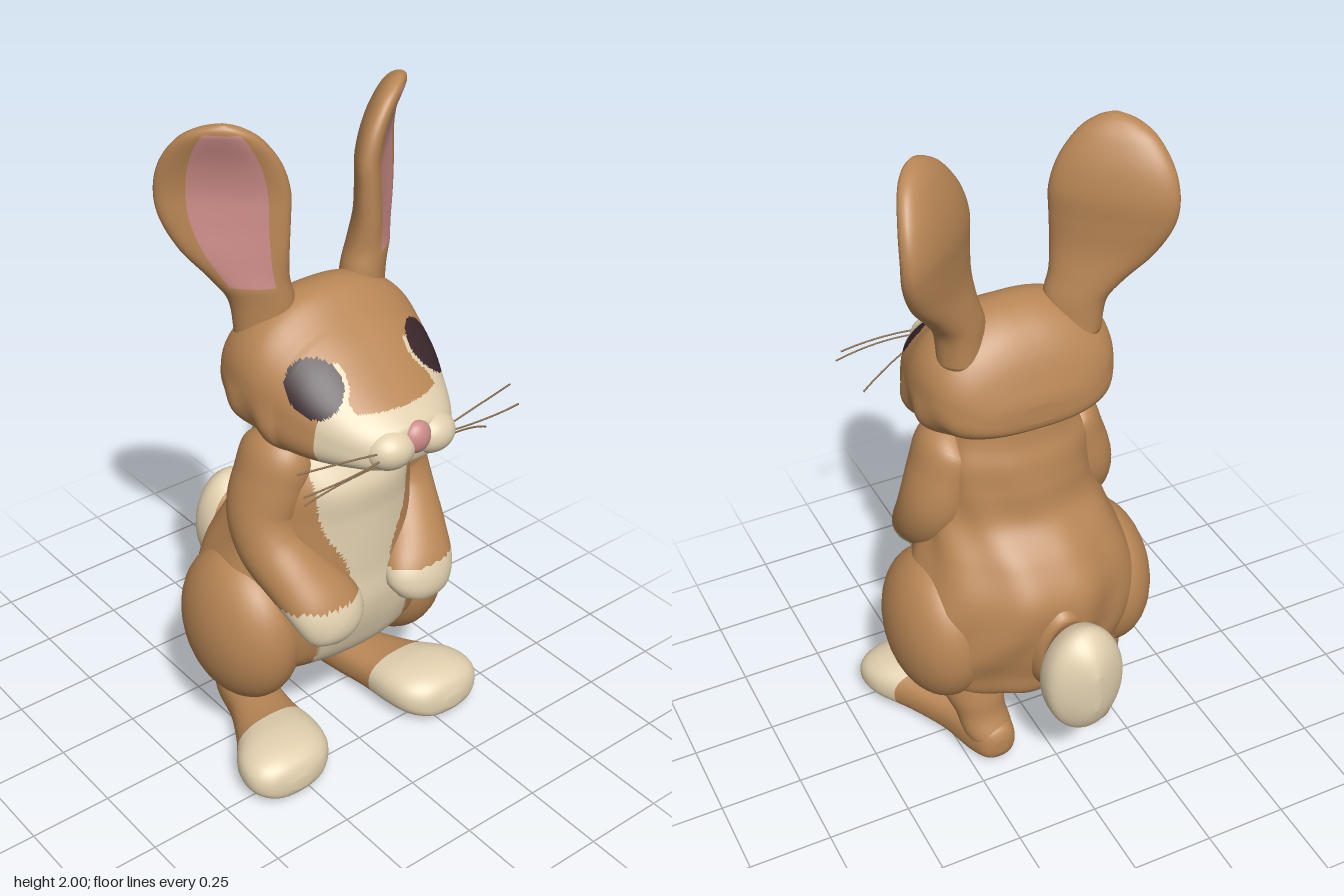
import * as THREE from 'three';

const mat = (name, color) => Object.assign(new THREE.MeshStandardMaterial({ color }), { name });
const brown = mat('brown fur', 0xb88655);
const cream = mat('cream fur', 0xe0cfae);
const pink = mat('pink skin', 0xcd8d89);
const dark = mat('dark eye', 0x3a272c);
const hair = mat('whisker', 0x8f7356);
const furs = [brown, cream, pink, dark];

const V = (x, y, z) => new THREE.Vector3(x, y, z);

// Smooth interpolation through the rows of a section list
function sample(rows, t) {
  const n = rows.length - 1;
  const i = Math.min(Math.floor(t), n - 1), f = t - i;
  const [a, b, c, d] = [i - 1, i, i + 1, i + 2].map(k => rows[Math.max(0, Math.min(n, k))]);
  return b.map((_, k) => 0.5 * (2 * b[k] + (c[k] - a[k]) * f
    + (2 * a[k] - 5 * b[k] + 4 * c[k] - d[k]) * f * f
    + (3 * b[k] - a[k] - 3 * c[k] + d[k]) * f * f * f));
}

// Closed skin over cross-sections [x, y, z, halfWidth, halfDepth].
// dir fixes the ring normal, ref is the width axis, pow squares the rings,
// warp(p, angle) moves a vertex, paint(p, angle) picks a colour index.
function loft(name, rows, { ref = V(1, 0, 0), dir, seg = 40, steps = 5, pow = 2, warp, paint = () => 0 }) {
  const count = (rows.length - 1) * steps;
  const pos = [], faces = [[], [], [], []];
  const sections = Array.from({ length: count + 1 }, (_, i) => sample(rows, i / steps));
  const centre = i => V(...sections[i].slice(0, 3));
  sections.forEach((s, i) => {
    const t = dir ? dir.clone() : centre(Math.min(count, i + 1)).sub(centre(Math.max(0, i - 1))).normalize();
    const u = ref.clone().addScaledVector(t, -ref.dot(t)).normalize();
    const v = t.clone().cross(u);
    for (let j = 0; j < seg; j++) {
      const a = j / seg * Math.PI * 2, c = Math.cos(a), d = Math.sin(a);
      const p = centre(i)
        .addScaledVector(u, Math.sign(c) * Math.abs(c) ** (2 / pow) * Math.max(s[3], 0.003))
        .addScaledVector(v, Math.sign(d) * Math.abs(d) ** (2 / pow) * Math.max(s[4], 0.003));
      if (warp) warp(p, a);
      pos.push(p.x, p.y, p.z);
    }
  });
  // End caps share the ring vertices through one middle point
  for (const i of [0, count]) {
    const m = V(0, 0, 0);
    for (let j = 0; j < seg; j++) m.add(V().fromArray(pos, (i * seg + j) * 3));
    pos.push(...m.divideScalar(seg).toArray());
  }
  const add = (a, b, c, angle) => {
    const p = V().fromArray(pos, a * 3).add(V().fromArray(pos, b * 3)).add(V().fromArray(pos, c * 3)).divideScalar(3);
    faces[paint(p, angle)].push(a, b, c);
  };
  const pole = (count + 1) * seg;
  for (let j = 0; j < seg; j++) {
    const k = (j + 1) % seg, angle = (j + 0.5) / seg * Math.PI * 2;
    add(pole, k, j, angle);
    add(pole + 1, count * seg + j, count * seg + k, angle);
    for (let i = 0; i < count; i++) {
      const a = i * seg, b = a + seg;
      add(a + j, a + k, b + k, angle);
      add(a + j, b + k, b + j, angle);
    }
  }
  const geo = new THREE.BufferGeometry();
  geo.setAttribute('position', new THREE.Float32BufferAttribute(pos, 3));
  geo.setIndex(faces.flat());
  let start = 0;
  faces.forEach((f, m) => { if (f.length) geo.addGroup(start, f.length, m); start += f.length; });
  geo.computeVertexNormals();
  const mesh = new THREE.Mesh(geo, furs);
  mesh.name = name;
  return mesh;
}

function ellipsoid(name, material, c, r) {
  const mesh = new THREE.Mesh(new THREE.SphereGeometry(1, 36, 24), material);
  mesh.name = name;
  mesh.position.set(...c);
  mesh.scale.set(...r);
  return mesh;
}

// Distance from the slanted eye, 1 at its rim
function eyeDistance(p) {
  const x = Math.abs(p.x) - 0.195, y = p.y - 1.322, z = p.z - 0.268;
  const u = -0.76 * z + 0.65 * y, v = 0.65 * z + 0.76 * y;
  return Math.hypot(u / 0.087, v / 0.062, x / 0.085);
}

const up = V(0, 1, 0), forward = V(0, 0, 1);

export function createModel() {
  const g = new THREE.Group();
  g.name = 'rabbit';

  // Torso with cream bib, narrowing to the back, and gentle fur folds
  const torso = [
    [0.225, -0.09, 0.05, 0.04], [0.24, -0.085, 0.17, 0.1], [0.285, -0.04, 0.3, 0.185], [0.36, 0, 0.365, 0.24],
    [0.45, 0.005, 0.385, 0.275], [0.55, 0.005, 0.37, 0.292], [0.65, 0.005, 0.33, 0.285], [0.75, 0.035, 0.29, 0.253],
    [0.85, 0.075, 0.26, 0.21], [0.95, 0.085, 0.245, 0.2], [1.03, 0.07, 0.23, 0.17], [1.1, 0.06, 0.19, 0.14],
    [1.2, 0.05, 0.15, 0.12]].map(([y, z, a, b]) => [0, y, z, a, b]);
  g.add(loft('torso', torso, {
    dir: up, seg: 144, steps: 10, pow: 2.1,
    warp: (p, a) => {
      const k = 1 + 0.016 * Math.sin(9 * a + 3 * Math.sin(7 * p.y)) * (p.z < 0.12 ? 1 : 0.2);
      p.x *= k * (1 - 2.5 * Math.min(0, p.z) ** 2);
      p.z *= k;
    },
    paint: p => p.z > 0.08 && p.y > 0.27
      && Math.abs(p.x) < 0.162 - 0.085 * Math.exp(-(((p.y - 0.68) / 0.12) ** 2)) ? 1 : 0
  }));

  // Head: rows of z, chin height, crown height, half width
  const head = [
    [-0.135, 1.2, 1.26, 0.06], [-0.125, 1.175, 1.3, 0.15], [-0.09, 1.15, 1.39, 0.225], [-0.04, 1.125, 1.455, 0.27],
    [0.03, 1.1, 1.495, 0.291], [0.1, 1.08, 1.495, 0.293], [0.17, 1.07, 1.45, 0.28], [0.25, 1.075, 1.395, 0.255],
    [0.32, 1.085, 1.335, 0.222], [0.39, 1.1, 1.285, 0.182], [0.44, 1.11, 1.25, 0.14], [0.46, 1.125, 1.235, 0.1],
    [0.47, 1.16, 1.21, 0.03]].map(([z, lo, hi, w]) => [0, (lo + hi) / 2, z, w, (hi - lo) / 2]);
  g.add(loft('head', head, {
    dir: forward, seg: 160, steps: 10, pow: 2.6,
    warp: (p, a) => {
      p.x *= 1 - 0.16 * Math.sin(a) - 0.1 * Math.max(0, Math.sin(a)) ** 3 * (p.z < 0.2 ? 1 : 0.5);
      // Ruffled cheek and nape fur
      if (p.z < 0.2 && p.y < 1.27) p.x *= 1 + 0.03 * Math.sin(p.z * 45) * Math.min(1, (1.27 - p.y) * 12);
    },
    paint: p => {
      const e = eyeDistance(p), x = Math.abs(p.x);
      if (e < 1) return 3;
      const muzzle = p.z > 0.315 && (p.y < 1.27 || x > 0.135);
      return muzzle || (e < 1.17 && p.z > 0.26 && x < 0.2) ? 1 : 0;
    }
  }));
  g.add(ellipsoid('nose', pink, [0, 1.195, 0.458], [0.045, 0.047, 0.034]));

  // Tail with cream tip
  const tail = [
    [0.475, -0.2, 0.11, 0.19], [0.465, -0.27, 0.085, 0.165], [0.46, -0.31, 0.07, 0.145], [0.465, -0.35, 0.112, 0.165],
    [0.47, -0.4, 0.122, 0.18], [0.465, -0.44, 0.11, 0.165], [0.47, -0.475, 0.062, 0.12], [0.475, -0.497, 0.01, 0.06]
  ].map(([y, z, a, b]) => [0, y, z, a, b]).reverse();
  g.add(loft('tail', tail, { dir: forward, paint: p => p.z < -0.35 ? 1 : 0 }));

  for (const s of [1, -1]) {
    const side = s > 0 ? 'left' : 'right';
    const flip = rows => rows.map(([x, ...rest]) => [x * s, ...rest]);

    // Ear: thick blade turned forward and outward, hollowed and pink inside
    const ear = flip([
      [0.165, 1.38, 0.02, 0.085, 0.065], [0.175, 1.48, 0.018, 0.09, 0.063], [0.205, 1.55, 0.005, 0.108, 0.06],
      [0.238, 1.63, -0.012, 0.145, 0.056], [0.255, 1.72, -0.028, 0.172, 0.054], [0.258, 1.8, -0.033, 0.178, 0.052],
      [0.267, 1.88, -0.024, 0.157, 0.047], [0.28, 1.95, -0.005, 0.11, 0.038], [0.287, 1.985, 0.01, 0.06, 0.025],
      [0.287, 2, 0.02, 0.012, 0.008]]);
    g.add(loft(side + 'Ear', ear, {
      dir: up, ref: V(0.74 * s, 0, -0.67), seg: 80, steps: 6, pow: 2.3,
      warp: (p, a) => {
        const front = Math.max(0, -s * Math.sin(a)) ** 3;
        const dent = 0.024 * front * Math.max(0, 1 - ((p.y - 1.75) / 0.22) ** 2);
        p.x -= 0.67 * s * dent; p.z -= 0.74 * dent;
      },
      paint: (p, a) => -s * Math.sin(a) > 0 && Math.cos(a) > -0.62 && Math.cos(a) < 0.42
        && p.y > 1.54 && p.y < 1.975 ? 2 : 0
    }));

    // Muzzle pad
    g.add(ellipsoid(side + 'MuzzlePad', cream, [0.07 * s, 1.175, 0.428], [0.075, 0.06, 0.07]));

    // Arm with cream paw
    const arm = flip([
      [0.14, 1.085, 0.09, 0.04, 0.05], [0.175, 1.045, 0.095, 0.092, 0.112], [0.207, 0.96, 0.09, 0.097, 0.117],
      [0.233, 0.86, 0.09, 0.1, 0.112], [0.237, 0.77, 0.135, 0.098, 0.1], [0.208, 0.69, 0.22, 0.104, 0.085],
      [0.172, 0.62, 0.29, 0.113, 0.075], [0.148, 0.565, 0.32, 0.1, 0.062], [0.135, 0.53, 0.33, 0.055, 0.035]]);
    g.add(loft(side + 'Arm', arm, { steps: 8, paint: p => p.y < 0.645 ? 1 : 0 }));

    // Haunch, shin and splayed foot
    g.add(ellipsoid(side + 'Haunch', brown, [0.272 * s, 0.45, 0.025], [0.15, 0.245, 0.22]));
    const shin = flip([
      [0.175, 0.05, -0.135, 0.05, 0.05], [0.178, 0.1, -0.125, 0.075, 0.08], [0.19, 0.17, -0.1, 0.078, 0.075],
      [0.2, 0.24, -0.07, 0.095, 0.095], [0.22, 0.34, -0.03, 0.1, 0.11]]);
    g.add(loft(side + 'Shin', shin, { dir: up }));
    const foot = flip([
      [0.168, 0.075, -0.21, 0.02, 0.025], [0.17, 0.075, -0.19, 0.055, 0.06], [0.178, 0.075, -0.13, 0.076, 0.074],
      [0.2, 0.073, -0.02, 0.088, 0.07], [0.24, 0.075, 0.1, 0.112, 0.072], [0.275, 0.081, 0.2, 0.145, 0.079],
      [0.29, 0.077, 0.28, 0.142, 0.074], [0.295, 0.068, 0.33, 0.1, 0.056], [0.295, 0.06, 0.35, 0.03, 0.02]]);
    g.add(loft(side + 'Foot', foot, {
      dir: forward, pow: 2.4, steps: 6, paint: p => p.z > 0.14 ? 1 : 0
    }));

    // Whiskers
    const tips = [[0.37, 1.205, 0.425], [0.375, 1.155, 0.457], [0.32, 1.07, 0.39]];
    tips.forEach(([x, y, z], i) => {
      const startY = 1.185 - i * 0.015;
      const path = new THREE.QuadraticBezierCurve3(
        V(0.1 * s, startY, 0.46), V(0.23 * s, startY + (y - 1.15) * 0.4, z + 0.03), V(x * s, y, z));
      const whisker = new THREE.Mesh(new THREE.TubeGeometry(path, 12, 0.0028, 5), hair);
      whisker.name = side + 'Whisker';
      g.add(whisker);
    });
  }
  return g;
}
